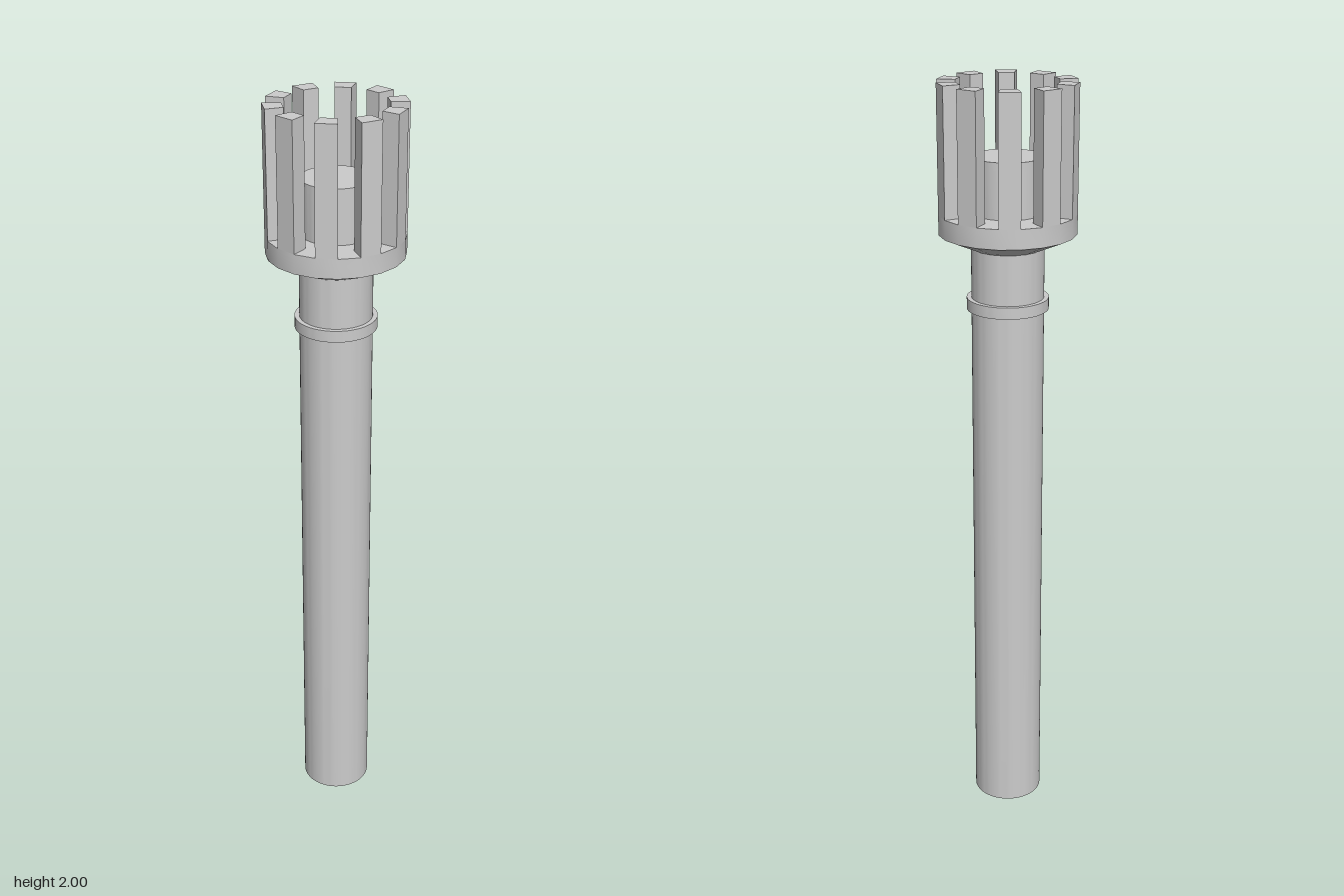
import * as THREE from 'three';
import { toCreasedNormals } from 'three/addons/utils/BufferGeometryUtils.js';

export function createModel() {
  const model = new THREE.Group();
  model.name = 'slottedCrownPost';
  const material = new THREE.MeshStandardMaterial({ color: 0xcccccc });

  const add = (name, geometry, parent = model) => {
    const mesh = new THREE.Mesh(geometry, material);
    mesh.name = name;
    parent.add(mesh);
    return mesh;
  };
  // Turned part from [radius, height] pairs, listed bottom to top
  const turned = (profile, sides) => toCreasedNormals(
    new THREE.LatheGeometry(profile.map(([r, y]) => new THREE.Vector2(r, y)), sides), 0.5);

  // Long round shaft, with a thin collar below the head
  add('shaft', turned([[0, 0], [0.092, 0], [0.092, 1.61], [0, 1.61]], 64));
  add('collar', turned([[0.09, 1.435], [0.104, 1.435], [0.104, 1.465], [0.09, 1.465]], 64));

  // Twenty-sided head base: flared underside, short rim, flat floor
  const sides = 20;
  const outer = 0.174, inner = 0.128, floorY = 1.68;
  add('headBase', turned([[0.088, 1.592], [outer, 1.63], [outer, floorY], [0, floorY]], sides));

  // Short post standing inside the crown
  add('innerPost', turned([[0.087, 1.67], [0.087, 1.82], [0, 1.82]], 64));

  // Ten upright teeth, one on every second side
  const step = (Math.PI * 2) / sides;
  const corner = (r, a) => new THREE.Vector2(r * Math.cos(a), -r * Math.sin(a));
  const toothShape = new THREE.Shape([
    corner(inner, 0), corner(outer, 0), corner(outer, step), corner(inner, step),
  ]);
  const toothGeometry = new THREE.ExtrudeGeometry(toothShape, { depth: 2 - floorY, bevelEnabled: false });
  toothGeometry.rotateX(-Math.PI / 2).translate(0, floorY, 0);

  const crown = new THREE.Group();
  crown.name = 'crown';
  model.add(crown);
  for (let i = 0; i < sides / 2; i++) {
    add('tooth', toothGeometry, crown).rotation.y = -2 * i * step;
  }
  return model;
}
